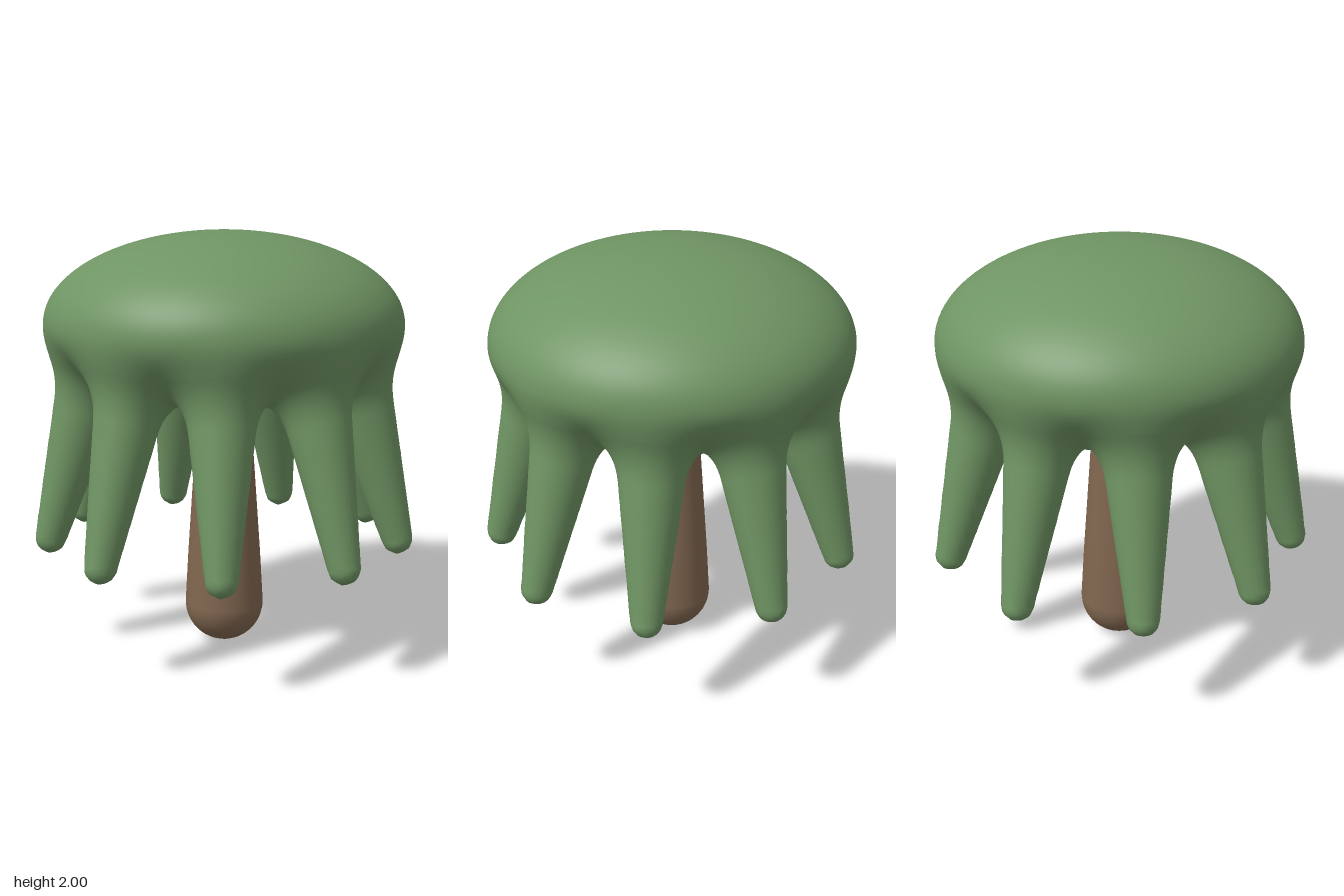
import * as THREE from 'three';

const LEGS = 9, CAP_Y = 1.57;
const GREEN = 0x6f9463, BROWN = 0x80664f;

// Polynomial smooth union of two distances
function blend(a, b, k) {
  const h = Math.max(k - Math.abs(a - b), 0) / k;
  return Math.min(a, b) - h * h * k * 0.25;
}

// Flattened dome, slightly shallower below than above
function capDistance(x, y, z) {
  const R = 0.85, H = y > CAP_Y ? 0.43 : 0.36, dy = y - CAP_Y;
  const k0 = Math.hypot(x / R, dy / H, z / R);
  const k1 = Math.hypot(x / R / R, dy / H / H, z / R / R);
  return k1 < 1e-6 ? -H : k0 * (k0 - 1) / k1;
}

// Tapered round limb running from under the cap to a blunt tip
const legAxes = Array.from({ length: LEGS }, (_, i) => {
  const a = (i / LEGS) * Math.PI * 2, c = Math.cos(a), s = Math.sin(a);
  return { top: [0.61 * c, 1.37, 0.61 * s], dir: [0.23 * c, -0.82, 0.23 * s] };
});
const DIR_SQ = 0.23 * 0.23 + 0.82 * 0.82;
function legDistance({ top, dir }, x, y, z) {
  const dx = x - top[0], dy = y - top[1], dz = z - top[2];
  const t = THREE.MathUtils.clamp((dx * dir[0] + dy * dir[1] + dz * dir[2]) / DIR_SQ, 0, 1);
  return Math.hypot(dx - dir[0] * t, dy - dir[1] * t, dz - dir[2] * t) - (0.172 - 0.097 * t);
}

function canopyDistance(x, y, z) {
  let legs = 10;
  for (const leg of legAxes) legs = blend(legs, legDistance(leg, x, y, z), 0.05);
  return blend(capDistance(x, y, z), legs, 0.17);
}

function gradient(f, x, y, z, e = 0.004) {
  return new THREE.Vector3(
    f(x + e, y, z) - f(x - e, y, z),
    f(x, y + e, z) - f(x, y - e, z),
    f(x, y, z + e) - f(x, y, z - e)
  ).divideScalar(2 * e);
}

// Skins a distance function: one vertex per surface cell, one quad per crossed edge
function skin(f, min, max, step) {
  const n = [0, 1, 2].map(i => Math.ceil((max[i] - min[i]) / step) + 1);
  const stride = [1, n[0], n[0] * n[1]];
  const at = (i, j, k) => i + j * stride[1] + k * stride[2];
  const val = new Float32Array(n[0] * n[1] * n[2]);
  const cell = new Int32Array(val.length).fill(-1);
  for (let k = 0; k < n[2]; k++)
    for (let j = 0; j < n[1]; j++)
      for (let i = 0; i < n[0]; i++)
        val[at(i, j, k)] = f(min[0] + i * step, min[1] + j * step, min[2] + k * step);

  const pos = [], nor = [], idx = [];
  const p = new THREE.Vector3();
  for (let k = 0; k < n[2] - 1; k++)
    for (let j = 0; j < n[1] - 1; j++)
      for (let i = 0; i < n[0] - 1; i++) {
        const base = at(i, j, k), sum = [0, 0, 0];
        let count = 0;
        for (let c = 0; c < 8; c++)
          for (let a = 0; a < 3; a++) {
            if (c & (1 << a)) continue;
            const bits = [c & 1, (c >> 1) & 1, (c >> 2) & 1];
            const o = base + bits[0] + bits[1] * stride[1] + bits[2] * stride[2];
            const v0 = val[o], v1 = val[o + stride[a]];
            if ((v0 < 0) === (v1 < 0)) continue;
            bits[a] = v0 / (v0 - v1);
            for (let m = 0; m < 3; m++) sum[m] += bits[m];
            count++;
          }
        if (!count) continue;
        p.set(i + sum[0] / count, j + sum[1] / count, k + sum[2] / count).multiplyScalar(step);
        p.x += min[0]; p.y += min[1]; p.z += min[2];
        const g = gradient(f, p.x, p.y, p.z).normalize();
        cell[base] = pos.length / 3;
        pos.push(p.x, p.y, p.z);
        nor.push(g.x, g.y, g.z);
      }

  for (let k = 1; k < n[2] - 1; k++)
    for (let j = 1; j < n[1] - 1; j++)
      for (let i = 1; i < n[0] - 1; i++) {
        const o = at(i, j, k);
        for (let a = 0; a < 3; a++) {
          const inside = val[o] < 0;
          if (inside === (val[o + stride[a]] < 0)) continue;
          const b = stride[(a + 1) % 3], c = stride[(a + 2) % 3];
          const q = [cell[o - b - c], cell[o - c], cell[o], cell[o - b]];
          if (!inside) q.reverse();
          idx.push(q[0], q[1], q[2], q[0], q[2], q[3]);
        }
      }

  const geo = new THREE.BufferGeometry();
  geo.setAttribute('position', new THREE.Float32BufferAttribute(pos, 3));
  geo.setAttribute('normal', new THREE.Float32BufferAttribute(nor, 3));
  geo.setIndex(idx);
  return geo;
}

export function createModel() {
  const model = new THREE.Group();
  model.name = 'tentacledTree';
  const green = new THREE.MeshStandardMaterial({ color: GREEN });
  const brown = new THREE.MeshStandardMaterial({ color: BROWN });
  const add = (name, geometry, material) => {
    const mesh = new THREE.Mesh(geometry, material);
    mesh.name = name;
    model.add(mesh);
  };
  const lathe = pts => new THREE.LatheGeometry(pts.map(([r, y]) => new THREE.Vector2(r, y)), 40);

  // Cap flowing into the ring of hanging limbs
  add('capWithHangingLimbs', skin(canopyDistance, [-1, 0.4, -1], [1, 2.06, 1], 0.026), green);

  // Trunk: round foot, taper upwards, small flare at the top
  const foot = Array.from({ length: 11 }, (_, i) => {
    const a = (i / 10) * Math.PI / 2;
    return [0.19 * Math.sin(a), 0.19 - 0.19 * Math.cos(a)];
  });
  add('trunk', lathe([...foot, [0.175, 0.45], [0.158, 0.7], [0.141, 0.95],
    [0.133, 1.08], [0.138, 1.12], [0.15, 1.15]]), brown);

  // Collar joining trunk and underside of the cap
  add('collar', lathe([[0.15, 1.15], [0.175, 1.175], [0.22, 1.2], [0.3, 1.225], [0.38, 1.26]]), green);

  model.position.x = -0.02;
  const root = new THREE.Group();
  root.add(model);
  return root;
}
